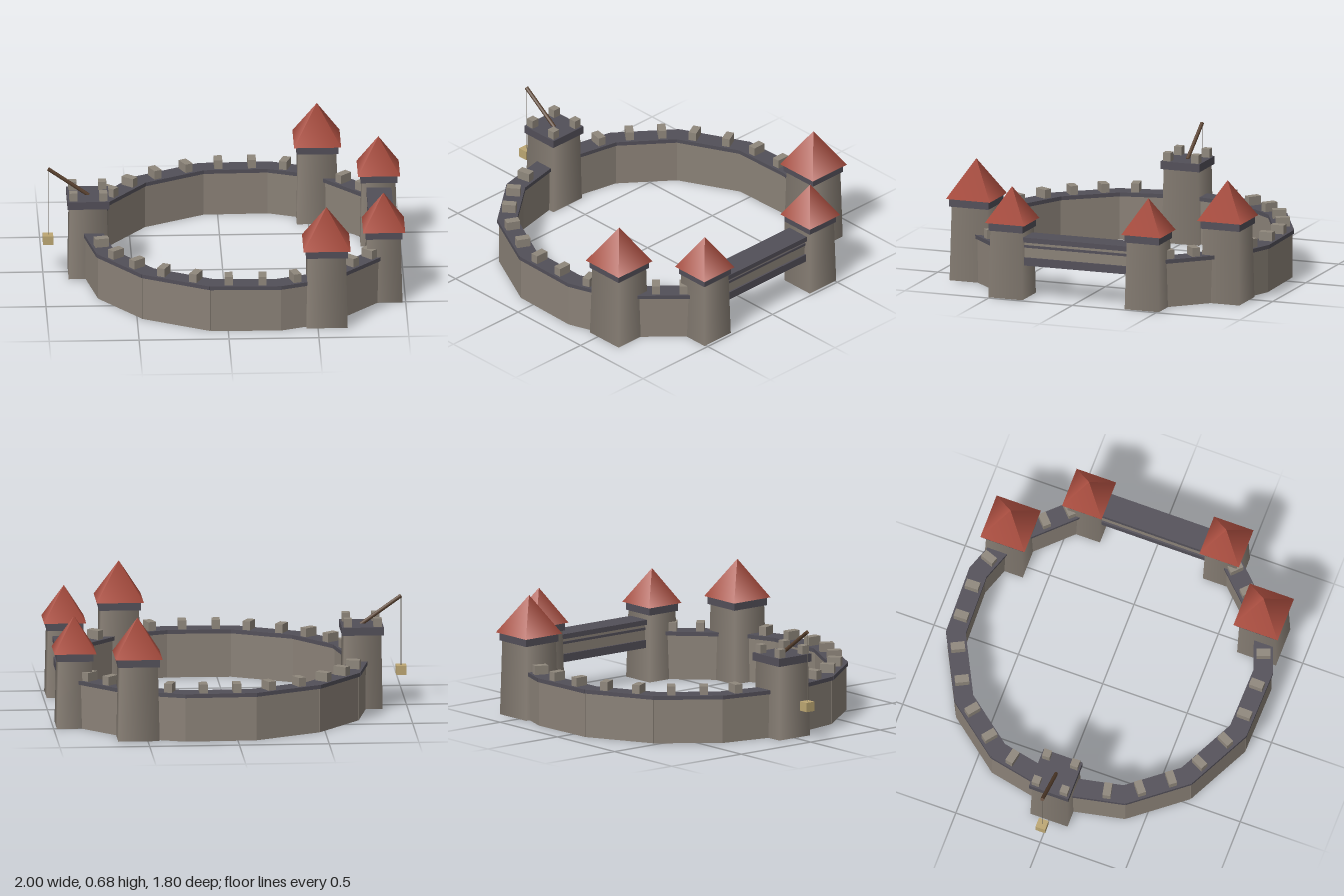
import * as THREE from 'three';

const mat = (color) => new THREE.MeshStandardMaterial({ color });
const STONE = mat(0x8a8177), SLATE = mat(0x524f58), TILE = mat(0xa84c3e);
const WOOD = mat(0x5a4230), MERLON = mat(0x8f877c), CRATE = mat(0xbca672), ROPE = mat(0x777066);

function add(parent, name, geometry, material, x, y, z) {
  const mesh = new THREE.Mesh(geometry, material);
  mesh.name = name;
  mesh.position.set(x, y, z);
  parent.add(mesh);
  return mesh;
}

// Box given by its bottom height and its height
const box = (parent, name, material, [w, h, d], x, y, z) =>
  add(parent, name, new THREE.BoxGeometry(w, h, d), material, x, y + h / 2, z);

// Four-sided tapered shaft with soft corners, sides facing the axes
function shaft(top, bottom, h) {
  const s = Math.SQRT2;
  return new THREE.CylinderGeometry(top * s, bottom * s, h, 4).rotateY(Math.PI / 4);
}

// Straight rod between two points
function rod(parent, name, material, a, b, radius, sides) {
  const dir = b.clone().sub(a);
  const mid = a.clone().add(b).multiplyScalar(0.5);
  const mesh = add(parent, name, new THREE.CylinderGeometry(radius, radius, dir.length(), sides), material, mid.x, mid.y, mid.z);
  mesh.quaternion.setFromUnitVectors(new THREE.Vector3(0, 1, 0), dir.normalize());
}

// Tower body with its slate collar
function towerBase(parent, name, x, z, h, bottom, top, collar) {
  const g = new THREE.Group();
  g.name = name;
  g.position.set(x, 0, z);
  parent.add(g);
  add(g, 'towerBody', shaft(top, bottom, h), STONE, 0, h / 2, 0);
  box(g, 'towerCollar', SLATE, [collar * 2, 0.045, collar * 2], 0, h, 0);
  return g;
}

function roofedTower(parent, name, x, z, h, bottom, top, collar, eave, roofH) {
  const g = towerBase(parent, name, x, z, h, bottom, top, collar);
  const cone = new THREE.ConeGeometry(eave * Math.SQRT2, roofH, 4).rotateY(Math.PI / 4);
  add(g, 'towerRoof', cone, TILE, 0, h + 0.045 + roofH / 2, 0);
}

// One straight wall run with coping and merlons
function wallRun(parent, [x0, z0], [x1, z1], stops) {
  const g = new THREE.Group();
  g.name = 'wallSection';
  const len = Math.hypot(x1 - x0, z1 - z0);
  g.position.set((x0 + x1) / 2, 0, (z0 + z1) / 2);
  g.rotation.y = -Math.atan2(z1 - z0, x1 - x0);
  parent.add(g);
  box(g, 'wall', STONE, [len + 0.018, 0.25, 0.09], 0, 0, 0);
  box(g, 'wallCoping', SLATE, [len + 0.022, 0.022, 0.108], 0, 0.249, 0);
  for (const t of stops) box(g, 'merlon', MERLON, [0.045, 0.052, 0.078], (t - 0.5) * len, 0.269, 0);
}

export function createModel() {
  const model = new THREE.Group();
  model.name = 'castle';

  // Curtain wall: half the ring, mirrored in z
  const ring = [[0.88, 0.405], [0.55, 0.75], [0.285, 0.845], [-0.09, 0.837], [-0.44, 0.66], [-0.665, 0.375], [-0.742, 0]];
  const stops = [[0.25, 0.57], [0.66], [0.25, 0.75], [0.25, 0.75], [0.25, 0.75], [0.25]];
  for (const s of [1, -1]) {
    for (let i = 0; i < ring.length - 1; i++) {
      const [a, b] = [ring[i], ring[i + 1]];
      wallRun(model, [a[0], a[1] * s], [b[0], b[1] * s], stops[i]);
    }
    // Roofed towers
    roofedTower(model, 'largeTower', 0.55, 0.75 * s, 0.42, 0.115, 0.106, 0.117, 0.131, 0.216);
    roofedTower(model, 'gateTower', 0.88, 0.407 * s, 0.38, 0.102, 0.093, 0.102, 0.117, 0.195);
  }

  // Covered bridge between the gate towers
  const bridge = new THREE.Group();
  bridge.name = 'bridge';
  bridge.position.x = 0.88;
  model.add(bridge);
  box(bridge, 'bridgeFloor', SLATE, [0.13, 0.045, 0.63], 0, 0.19, 0);
  box(bridge, 'bridgeWalls', STONE, [0.11, 0.09, 0.63], 0, 0.234, 0);
  box(bridge, 'bridgeBand', SLATE, [0.12, 0.014, 0.63], 0, 0.291, 0);
  box(bridge, 'bridgeRoof', SLATE, [0.14, 0.028, 0.63], 0, 0.322, 0);

  // Crane tower with corner merlons
  const crane = towerBase(model, 'craneTower', -0.75, 0, 0.42, 0.11, 0.103, 0.116);
  for (const x of [-0.083, 0.083])
    for (const z of [-0.083, 0.083]) box(crane, 'cornerMerlon', MERLON, [0.045, 0.049, 0.045], x, 0.464, z);

  // Hoist: boom, rope and hanging crate
  const tip = new THREE.Vector3(-0.97, 0.62, 0);
  rod(model, 'craneBoom', WOOD, new THREE.Vector3(-0.745, 0.46, 0), tip, 0.011, 8);
  rod(model, 'craneRope', ROPE, tip, new THREE.Vector3(-0.97, 0.22, 0), 0.002, 5);
  box(model, 'crate', CRATE, [0.057, 0.053, 0.057], -0.971, 0.173, 0);

  return model;
}
